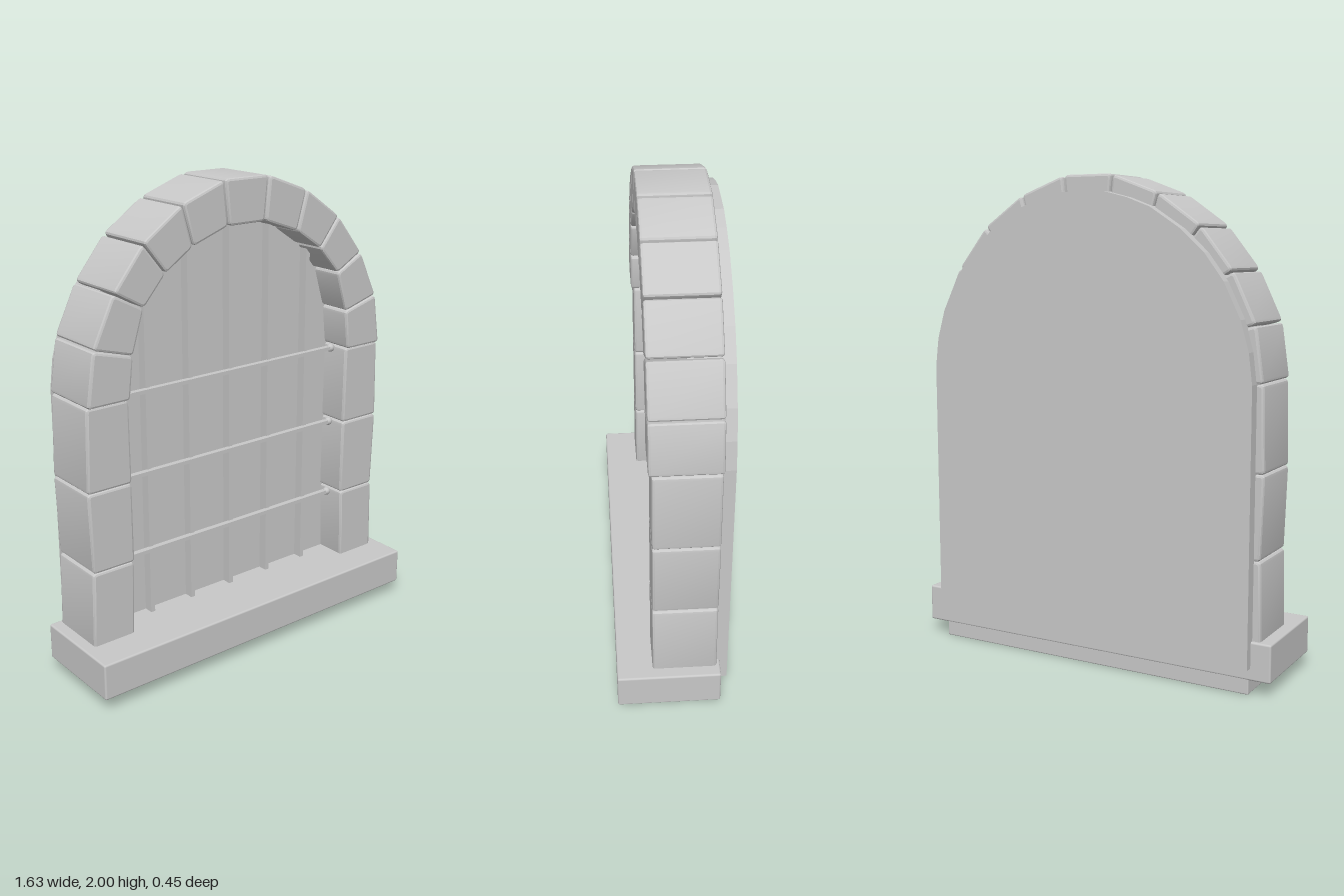
import * as THREE from 'three';
import { toCreasedNormals } from 'three/addons/utils/BufferGeometryUtils.js';
import { RoundedBoxGeometry } from 'three/addons/geometries/RoundedBoxGeometry.js';

export function createModel() {
  const model = new THREE.Group();
  const stone = new THREE.MeshStandardMaterial({ color: 0xc8c8c8 });
  stone.name = 'grey stone';

  const add = (name, geometry, x = 0, y = 0, z = 0) => {
    const mesh = new THREE.Mesh(geometry, stone);
    mesh.name = name;
    mesh.position.set(x, y, z);
    model.add(mesh);
    return mesh;
  };
  const box = (name, [x0, x1], [y0, y1], [z0, z1], r) => add(name,
    new RoundedBoxGeometry(x1 - x0, y1 - y0, z1 - z0, 2, r),
    (x0 + x1) / 2, (y0 + y1) / 2, (z0 + z1) / 2);

  // Outline of a polygon with each corner rounded off
  const roundedShape = (corners, r) => {
    const points = corners.map(([x, y]) => new THREE.Vector2(x, y));
    const shape = new THREE.Shape();
    const n = points.length;
    points.forEach((p, i) => {
      const toward = (q) => q.clone().sub(p).setLength(r).add(p);
      const start = toward(points[(i + n - 1) % n]);
      const end = toward(points[(i + 1) % n]);
      if (i === 0) shape.moveTo(start.x, start.y);
      else shape.lineTo(start.x, start.y);
      shape.quadraticCurveTo(p.x, p.y, end.x, end.y);
    });
    shape.closePath();
    return shape;
  };

  // Stone block from a four-cornered face, with softened edges
  const block = (name, corners, z0, z1, bevel = 0.01) => {
    const geometry = new THREE.ExtrudeGeometry(roundedShape(corners, 0.018), {
      depth: z1 - z0 - 2 * bevel, bevelEnabled: true, bevelSegments: 2, curveSegments: 3,
      bevelSize: bevel, bevelThickness: bevel, bevelOffset: -bevel,
    });
    add(name, toCreasedNormals(geometry, 0.3), 0, 0, z0 + bevel);
  };
  const mirror = (corners) => corners.map(([x, y]) => [-x, y]);

  // Sill and foot
  box('sill', [-0.813, 0.813], [0.06, 0.215], [-0.195, 0.225], 0.008);
  box('foot', [-0.722, 0.722], [0, 0.075], [-0.193, 0.1], 0.005);

  // Arch stones: outer and inner edges, from the keystone down
  block('keystone', [[-0.107, 2], [-0.088, 1.818], [0.088, 1.818], [0.107, 2]], -0.185, 0.092);
  const archStones = [
    [[0.115, 1.997], [0.308, 1.926], [0.26, 1.76], [0.095, 1.818]],
    [[0.314, 1.923], [0.49, 1.801], [0.391, 1.674], [0.265, 1.758]],
    [[0.494, 1.796], [0.626, 1.632], [0.494, 1.557], [0.394, 1.672]],
    [[0.63, 1.627], [0.724, 1.432], [0.549, 1.382], [0.496, 1.555]],
    [[0.725, 1.428], [0.757, 1.21], [0.568, 1.21], [0.549, 1.38]],
  ];
  // Jamb stones, from the springing down, slightly uneven
  const jambStones = [
    [[0.757, 1.21], [0.766, 0.867], [0.564, 0.867], [0.568, 1.21]],
    [[0.766, 0.867], [0.755, 0.53], [0.563, 0.53], [0.565, 0.867]],
    [[0.757, 0.53], [0.765, 0.2], [0.575, 0.2], [0.565, 0.53]],
  ];
  for (const side of ['left', 'right']) {
    const place = (c) => (side === 'left' ? c : mirror(c));
    archStones.forEach((c, i) => block(`${side}ArchStone${i + 1}`, place(c), -0.185, 0.092));
    jambStones.forEach((c, i) => block(`${side}JambStone${i + 1}`, place(c), -0.18, 0.08));
  }

  // Thick panel that fills the opening and stands out at the back
  const panelFront = -0.055;
  const panelBack = -0.228;
  const half = [[0.73, 0.11], [0.73, 1.21], [0.715, 1.33], [0.68, 1.45], [0.61, 1.59],
    [0.53, 1.695], [0.43, 1.785], [0.3, 1.868], [0.2, 1.905], [0.1, 1.93]];
  const outline = [...half, ...mirror(half).reverse()].map(([x, y]) => new THREE.Vector2(x, y));
  add('panel', new THREE.ExtrudeGeometry(new THREE.Shape(outline),
    { depth: panelFront - panelBack, bevelEnabled: false }), 0, 0, panelBack);

  // Upright bars of the grille, set against the panel
  for (const [x, top] of [[-0.418, 1.7], [-0.208, 1.83], [0, 1.86], [0.208, 1.83], [0.418, 1.7]]) {
    add('uprightBar', new THREE.BoxGeometry(0.02, top - 0.2, 0.045), x, (top + 0.2) / 2, -0.037);
  }
  // Cross bars with round ends
  const crossZ = -0.007;
  for (const y of [0.51, 0.853, 1.197]) {
    add('crossBar', new THREE.BoxGeometry(1.16, 0.016, 0.024), 0, y, crossZ);
    for (const x of [-0.556, 0.556]) {
      add('barEnd', new THREE.SphereGeometry(0.018, 12, 8), x, y, crossZ);
    }
  }
  return model;
}
